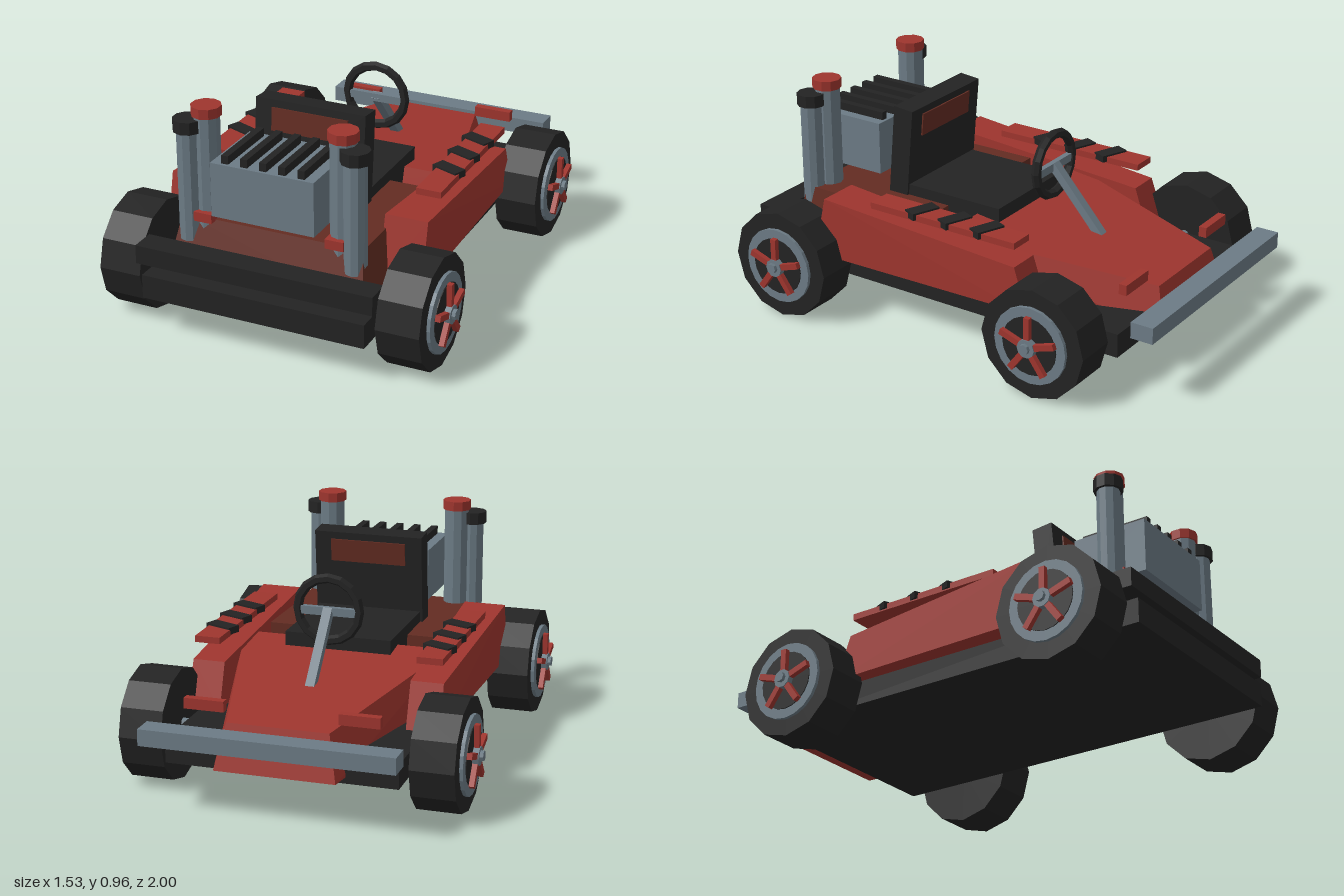
import * as THREE from 'three';
import { ConvexGeometry } from 'three/addons/geometries/ConvexGeometry.js';

const mat = (name, color) => {
  const m = new THREE.MeshStandardMaterial({ color, flatShading: true });
  m.name = name;
  return m;
};

export function createModel() {
  const red = mat('body red', 0x9e352e);
  const darkRed = mat('dark red', 0x632c22);
  const steel = mat('steel', 0x6c7b85);
  const black = mat('black', 0x232323);

  const root = new THREE.Group();
  root.name = 'kart';

  const add = (name, geo, material, pos = [0, 0, 0], rot = [0, 0, 0], parent = root) => {
    const m = new THREE.Mesh(geo, material);
    m.name = name;
    m.position.set(...pos);
    m.rotation.set(...rot);
    parent.add(m);
    return m;
  };
  // box given by its extents on each axis
  const box = (name, material, [x0, x1], [y0, y1], [z0, z1]) =>
    add(name, new THREE.BoxGeometry(x1 - x0, y1 - y0, z1 - z0), material,
      [(x0 + x1) / 2, (y0 + y1) / 2, (z0 + z1) / 2]);
  // upright cylinder
  const post = (name, material, r, y0, y1, x, z) =>
    add(name, new THREE.CylinderGeometry(r, r, y1 - y0, 10), material, [x, (y0 + y1) / 2, z]);
  // faceted solid from corner points
  const solid = (name, material, pts) =>
    add(name, new ConvexGeometry(pts.map(p => new THREE.Vector3(...p))), material);
  // both left and right copies of each corner
  const bothSides = pts => pts.flatMap(([x, y, z]) => [[x, y, z], [-x, y, z]]);

  // chassis and bumpers
  box('floorPan', black, [-0.49, 0.49], [0.165, 0.268], [-0.82, 1]);
  box('rearBumper', black, [-0.52, 0.52], [0.31, 0.39], [0.88, 0.99]);
  box('frontWing', steel, [-0.53, 0.53], [0.295, 0.365], [-1, -0.9]);

  // sloping nose
  solid('nose', red, bothSides([
    [0.46, 0.48, 0.03], [0.215, 0.375, -0.845],
    [0.48, 0.27, 0.09], [0.255, 0.185, -0.895], [0.255, 0.25, -0.7],
  ]));
  // engine deck
  solid('engineDeck', darkRed, bothSides([
    [0.4, 0.48, 0.18], [0.4, 0.48, 0.81],
    [0.43, 0.28, 0.18], [0.43, 0.28, 0.88],
  ]));

  // seat with head panel
  box('seatCushion', black, [-0.235, 0.235], [0.4, 0.528], [-0.08, 0.42]);
  const seatBack = new THREE.Group();
  seatBack.name = 'seatBack';
  seatBack.position.set(0, 0.675, 0.42);
  seatBack.rotation.x = -0.09;
  root.add(seatBack);
  add('backRest', new THREE.BoxGeometry(0.49, 0.4, 0.095), black, [0, 0, 0], [0, 0, 0], seatBack);
  add('headPanel', new THREE.BoxGeometry(0.34, 0.1, 0.108), darkRed, [0, 0.118, 0], [0, 0, 0], seatBack);

  // engine block and cooling fins
  box('engineBlock', steel, [-0.225, 0.225], [0.535, 0.767], [0.55, 0.885]);
  for (let i = -2; i <= 2; i++) {
    const x = i * 0.083;
    box('coolingFin', black, [x - 0.015, x + 0.015], [0.765, 0.802], [0.565, 0.872]);
  }

  // steering
  add('steeringWheel', new THREE.TorusGeometry(0.135, 0.021, 6, 16), black, [0, 0.68, -0.2]);
  box('steeringBar', steel, [-0.125, 0.125], [0.655, 0.69], [-0.212, -0.188]);
  const dy = 0.28, dz = 0.25;
  add('steeringColumn', new THREE.BoxGeometry(0.04, Math.hypot(dy, dz), 0.035), steel,
    [0, 0.54, -0.325], [Math.atan2(dz, dy), 0, 0]);

  for (const s of [1, -1]) {
    // side pod, its top strip and slanted bands
    solid('sidePod', red, [
      [0.39, 0.535, 0.58], [0.575, 0.535, 0.58], [0.405, 0.46, -0.365], [0.545, 0.46, -0.365],
      [0.39, 0.27, 0.64], [0.575, 0.27, 0.64], [0.405, 0.27, -0.43], [0.55, 0.27, -0.43],
    ].map(([x, y, z]) => [x * s, y, z]));
    add('podStrip', new THREE.BoxGeometry(0.11, 0.028, 0.72), red, [s * 0.483, 0.548, 0]);
    for (const z of [-0.19, -0.03, 0.135])
      add('podBand', new THREE.BoxGeometry(0.13, 0.03, 0.062), black, [s * 0.48, 0.555, z], [0, -0.38, 0]);

    // exhaust stacks
    post('innerStack', steel, 0.055, 0.39, 0.92, s * 0.298, 0.77);
    post('innerStackCap', red, 0.063, 0.916, 0.958, s * 0.298, 0.77);
    post('outerStack', steel, 0.048, 0.38, 0.86, s * 0.365, 0.805);
    post('outerStackCap', black, 0.061, 0.85, 0.903, s * 0.365, 0.805);
    add('stackBracket', new THREE.BoxGeometry(0.08, 0.04, 0.08), red, [s * 0.29, 0.495, 0.805]);

    // nose tab
    add('noseTab', new THREE.BoxGeometry(0.17, 0.045, 0.035), red, [s * 0.325, 0.423, -0.79]);
  }

  // wheels: discs are turned so their axis lies on x
  const wheel = (z, s) => {
    const g = new THREE.Group();
    g.name = z > 0 ? 'rearWheel' : 'frontWheel';
    g.position.set(0, 0.24, z);
    if (s < 0) g.rotation.y = Math.PI;
    root.add(g);
    const disc = (name, material, r, x0, x1, n) =>
      add(name, new THREE.CylinderGeometry(r, r, x1 - x0, n), material,
        [(x0 + x1) / 2, 0, 0], [0, 0, -Math.PI / 2], g);
    disc('tyre', black, 0.239, 0.52, 0.705, 12);
    disc('rim', steel, 0.167, 0.7, 0.72, 20);
    disc('rimCentre', black, 0.126, 0.715, 0.724, 20);
    disc('hub', steel, 0.04, 0.72, 0.75, 10);
    for (let i = 0; i < 5; i++) {
      const a = i * Math.PI * 2 / 5;
      add('spoke', new THREE.BoxGeometry(0.022, 0.11, 0.026), red,
        [0.735, Math.cos(a) * 0.077, Math.sin(a) * 0.077], [a, 0, 0], g);
    }
  };
  for (const z of [0.73, -0.555]) {
    wheel(z, 1);
    wheel(z, -1);
    add('axle', new THREE.CylinderGeometry(0.022, 0.022, 1.53, 8), steel,
      [0, 0.243, z], [0, 0, Math.PI / 2]);
  }
  return root;
}
